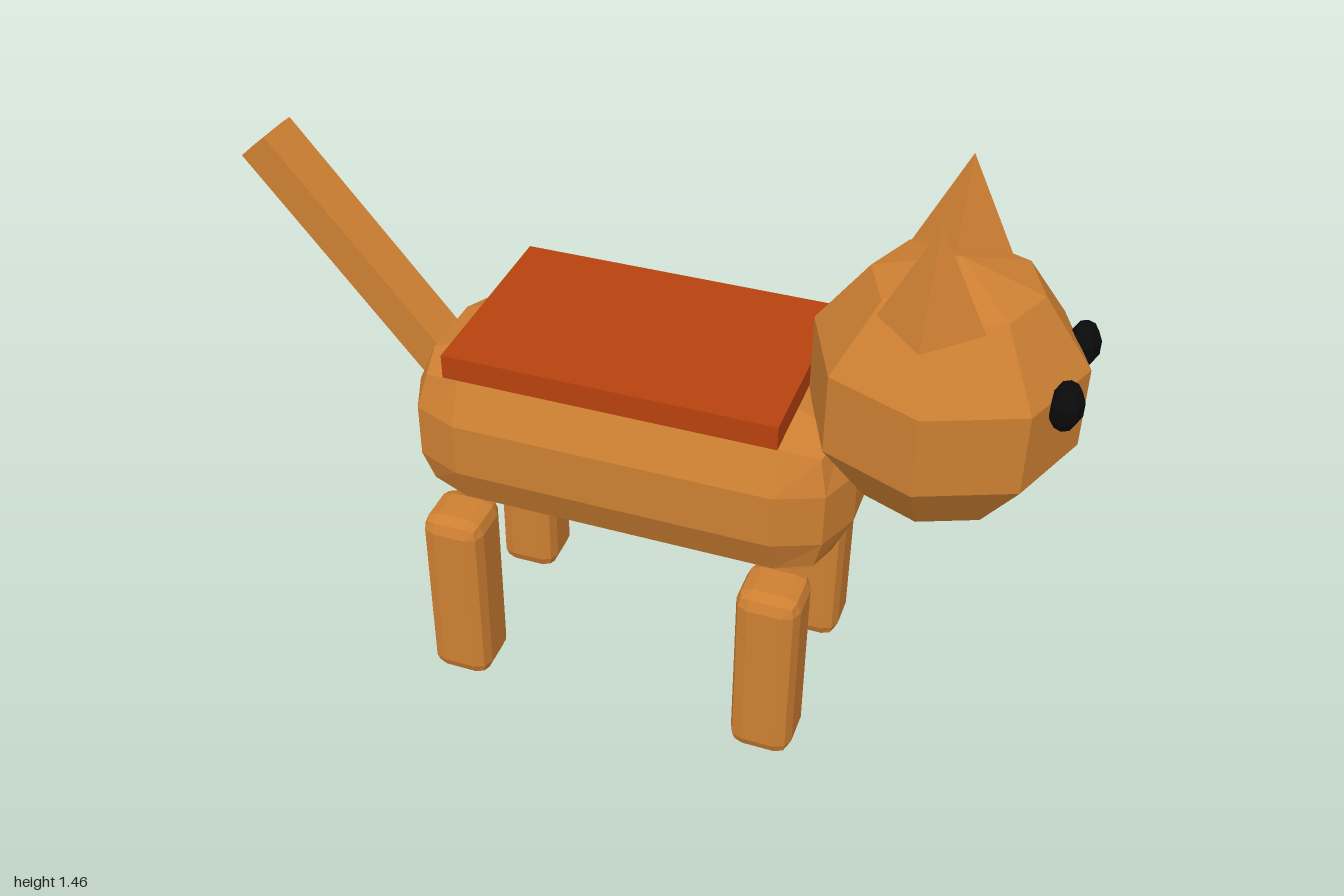
import * as THREE from 'three';

const bronze = new THREE.MeshStandardMaterial({ color: 0xcd7f32 });
bronze.name = 'bronze fur';
const rust = new THREE.MeshStandardMaterial({ color: 0xb7410e });
rust.name = 'rust saddle';
const black = new THREE.MeshStandardMaterial({ color: 0x0a0a0a });
black.name = 'black eyes';

// Hard-edged low-poly facets
function faceted(geometry) {
  const flat = geometry.index ? geometry.toNonIndexed() : geometry;
  flat.computeVertexNormals();
  return flat;
}

// Box whose edges are rounded off with two bevel steps; half sizes and bevel radii per axis
function beveledBox(half, radius) {
  const geometry = new THREE.BoxGeometry(2, 2, 2, 3, 3, 3);
  const pos = geometry.attributes.position;
  const p = new THREE.Vector3();
  for (let i = 0; i < pos.count; i++) {
    p.fromBufferAttribute(pos, i);
    const c = p.toArray();
    const n = new THREE.Vector3(...c.map((v) => (Math.abs(v) < 0.5 ? 0 : Math.sign(v)))).normalize().toArray();
    pos.setXYZ(i, ...c.map((v, k) => Math.sign(v) * (half[k] - radius[k]) + n[k] * radius[k]));
  }
  return geometry;
}

export function createModel() {
  const cat = new THREE.Group();
  cat.name = 'cat';

  function add(name, geometry, material, x, y, z) {
    const mesh = new THREE.Mesh(faceted(geometry), material);
    mesh.name = name;
    mesh.position.set(x, y, z);
    cat.add(mesh);
    return mesh;
  }

  // Body and the flat saddle on its back
  add('body', beveledBox([0.542, 0.214, 0.246], [0.155, 0.146, 0.155]), bronze, 0, 0.69, 0);
  add('saddle', new THREE.BoxGeometry(0.79, 0.06, 0.51), rust, 0, 0.933, 0);

  // Four separate legs
  for (const x of [-0.395, 0.397]) {
    for (const side of [-1, 1]) {
      const name = (x > 0 ? 'front' : 'back') + (side > 0 ? 'Right' : 'Left') + 'Leg';
      add(name, beveledBox([0.077, 0.246, 0.078], [0.037, 0.037, 0.037]), bronze, x, 0.25, side * 0.219);
    }
  }

  // Faceted head with pyramid ears and bead eyes, looking along +x
  add('head', new THREE.SphereGeometry(0.315, 8, 5), bronze, 0.695, 0.99, 0);
  for (const side of [-1, 1]) {
    const suffix = side > 0 ? 'Right' : 'Left';
    add('ear' + suffix, new THREE.ConeGeometry(0.113, 0.232, 4), bronze, 0.675, 1.343, side * 0.16);
    add('eye' + suffix, new THREE.SphereGeometry(0.054, 8, 5).scale(0.72, 1, 1), black, 0.963, 1.07, side * 0.12);
  }

  // Five-sided tail rising backwards from the rump
  const length = 0.71;
  const lean = 0.698;
  const tail = new THREE.CylinderGeometry(0.075, 0.075, length, 5).rotateY(Math.PI).translate(0, -length / 2, 0);
  add('tail', tail, bronze, -0.945, 1.289, -0.008).rotation.z = lean;

  return cat;
}
